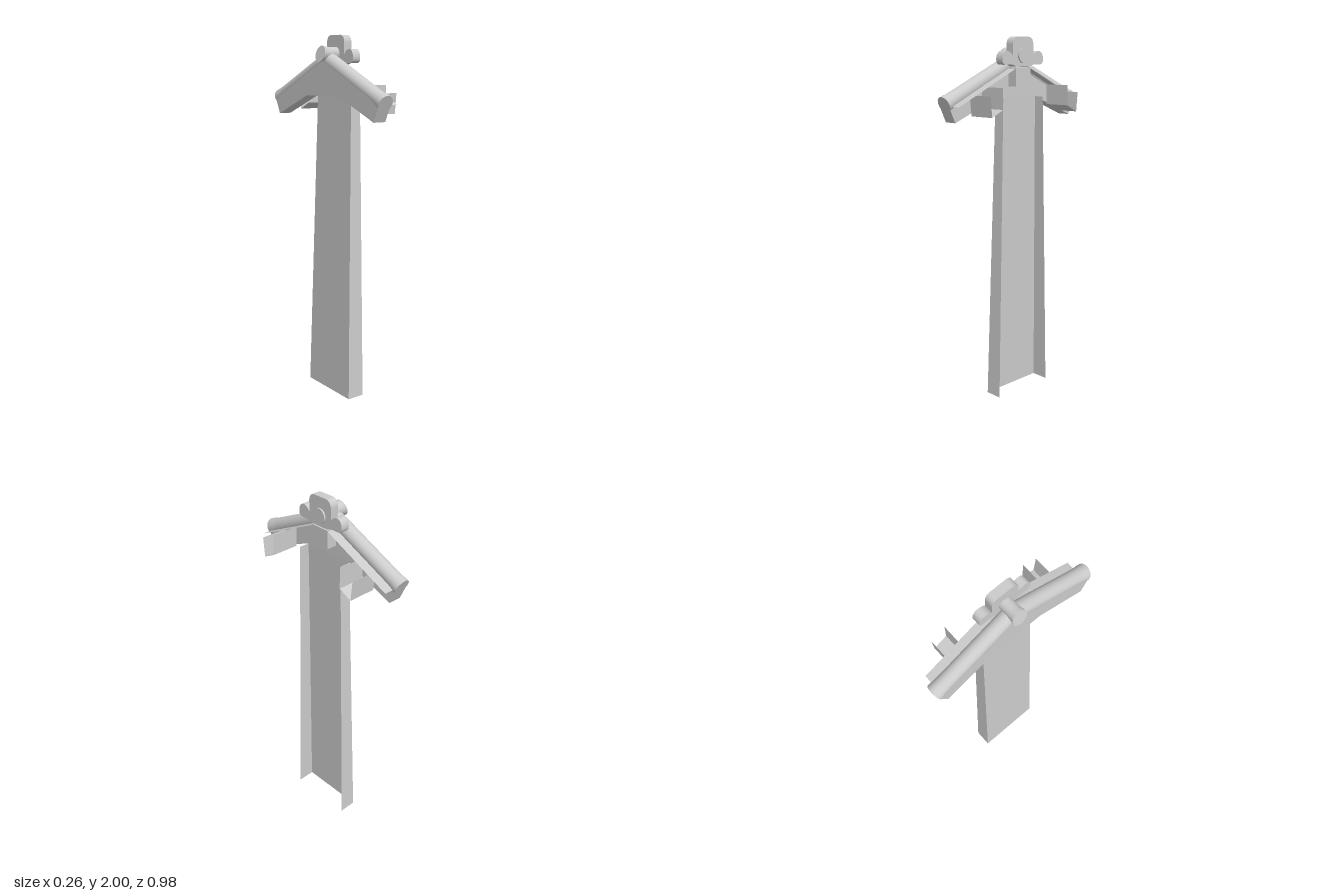
import * as THREE from 'three';

const grey = new THREE.MeshStandardMaterial({ color: 0xcccccc, side: THREE.DoubleSide });
const flat = new THREE.MeshStandardMaterial({ color: 0xcccccc, side: THREE.DoubleSide, flatShading: true });

function add(parent, name, geometry, material = flat) {
  const mesh = new THREE.Mesh(geometry, material);
  mesh.name = name;
  parent.add(mesh);
  return mesh;
}

// Thin four-cornered sheet
function sheet(a, b, c, d) {
  const g = new THREE.BufferGeometry();
  g.setAttribute('position', new THREE.Float32BufferAttribute([...a, ...b, ...c, ...d], 3));
  g.setIndex([0, 1, 2, 0, 2, 3]);
  g.computeVertexNormals();
  return g;
}

// Outline drawn in the z-y plane, extruded along x from x0 to x1
function slab(shape, x0, x1) {
  const g = new THREE.ExtrudeGeometry(shape, { depth: x1 - x0, bevelEnabled: false, curveSegments: 10 });
  return g.translate(0, 0, x0).rotateY(Math.PI / 2);
}

const profile = (points) => points.map(([r, h]) => new THREE.Vector2(r, h));

export function createModel() {
  const model = new THREE.Group();
  model.name = 'wallEnd';

  // Tapered open channel: leaning back plate and two side flanges
  const top = 1.68;
  add(model, 'wallPlate', sheet([-0.07, 0, 0.19], [-0.07, 0, -0.19], [-0.03, top, -0.15], [-0.03, top, 0.15]));

  // Gable block under the ridge tiles
  const half = [[0.472, 1.658], [0.43, 1.566], [0.15, top]];
  const outline = [[0, 1.873], ...half, ...half.map(([z, y]) => [-z, y]).reverse()];
  add(model, 'gable', slab(new THREE.Shape(profile(outline)), -0.105, -0.03));
  add(model, 'ridgeBlock', new THREE.BoxGeometry(0.06, 0.1, 0.11).translate(0, 1.79, 0));

  for (const s of [1, -1]) {
    add(model, 'wallFlange', sheet(
      [-0.07, 0, s * 0.19], [0.03, 0, s * 0.19], [0.03, top, s * 0.15], [-0.03, top, s * 0.15]));
    add(model, 'roofBoard', sheet(
      [-0.04, 1.86, 0], [0.028, 1.86, 0], [0.028, 1.65, s * 0.452], [-0.04, 1.65, s * 0.452]));

    // Purlin: trough of three sheets, open at the top
    const purlin = new THREE.Group();
    purlin.name = 'purlin';
    model.add(purlin);
    const trough = [[0.245, 1.742], [0.245, 1.632], [0.32, 1.595], [0.33, 1.702]];
    for (let i = 0; i < 3; i++) {
      const [z0, y0] = trough[i], [z1, y1] = trough[i + 1];
      add(purlin, 'purlinSheet', sheet(
        [-0.03, y0, s * z0], [0.128, y0, s * z0], [0.128, y1, s * z1], [-0.03, y1, s * z1]));
    }

    // Round sloping ridge tile, flared at the eave
    const length = Math.hypot(0.472, 0.215);
    const tile = add(model, 'ridgeTile', new THREE.LatheGeometry(profile([
      [0.041, 0], [0.041, length - 0.08], [0.042, length - 0.04], [0.045, length - 0.015], [0.045, length],
    ]), 24), grey);
    tile.position.set(-0.065, 1.873, 0);
    const slope = new THREE.Vector3(0, -0.215, s * 0.472).normalize();
    tile.quaternion.setFromUnitVectors(new THREE.Vector3(0, 1, 0), slope);
    const cap = add(model, 'tileCap', new THREE.CircleGeometry(0.045, 24));
    cap.position.copy(tile.position).addScaledVector(slope, length);
    cap.quaternion.setFromUnitVectors(new THREE.Vector3(0, 0, 1), slope);
  }

  // Lobed crest standing on the ridge
  const crest = new THREE.Shape();
  crest.moveTo(-0.05, 1.845);
  crest.lineTo(0.05, 1.845);
  crest.lineTo(0.08, 1.855);
  crest.lineTo(0.135, 1.855);
  crest.bezierCurveTo(0.165, 1.86, 0.155, 1.926, 0.12, 1.926);
  crest.quadraticCurveTo(0.095, 1.926, 0.077, 1.9);
  crest.lineTo(0.077, 1.96);
  crest.bezierCurveTo(0.077, 1.985, 0.06, 2, 0.04, 2);
  crest.lineTo(-0.04, 2);
  crest.bezierCurveTo(-0.06, 2, -0.077, 1.985, -0.077, 1.96);
  crest.lineTo(-0.077, 1.9);
  crest.quadraticCurveTo(-0.095, 1.926, -0.12, 1.926);
  crest.bezierCurveTo(-0.155, 1.926, -0.165, 1.86, -0.135, 1.855);
  crest.lineTo(-0.08, 1.855);
  crest.closePath();
  add(model, 'crest', slab(crest, -0.02, 0.028));

  // Cross tile through the crest; its outer end is cut at a slant
  const cross = new THREE.LatheGeometry(profile([
    [0.04, -0.037], [0.04, -0.02], [0.036, 0.02], [0.036, 0.07], [0.039, 0.1], [0.042, 0.12],
  ]), 24).rotateZ(Math.PI / 2);
  const ends = [new THREE.CircleGeometry(0.042, 24).rotateY(-Math.PI / 2).translate(-0.12, 0, 0),
    new THREE.CircleGeometry(0.04, 24).rotateY(Math.PI / 2).translate(0.037, 0, 0)];
  for (const g of [cross, ends[0]]) {
    const p = g.attributes.position;
    for (let i = 0; i < p.count; i++) {
      if (p.getX(i) < -0.09) p.setX(i, p.getX(i) + p.getY(i) * 0.27);
    }
    g.computeVertexNormals();
  }
  add(model, 'crossTile', cross, grey).position.y = 1.902;
  for (const g of ends) add(model, 'crossTileCap', g).position.y = 1.902;

  return model;
}
